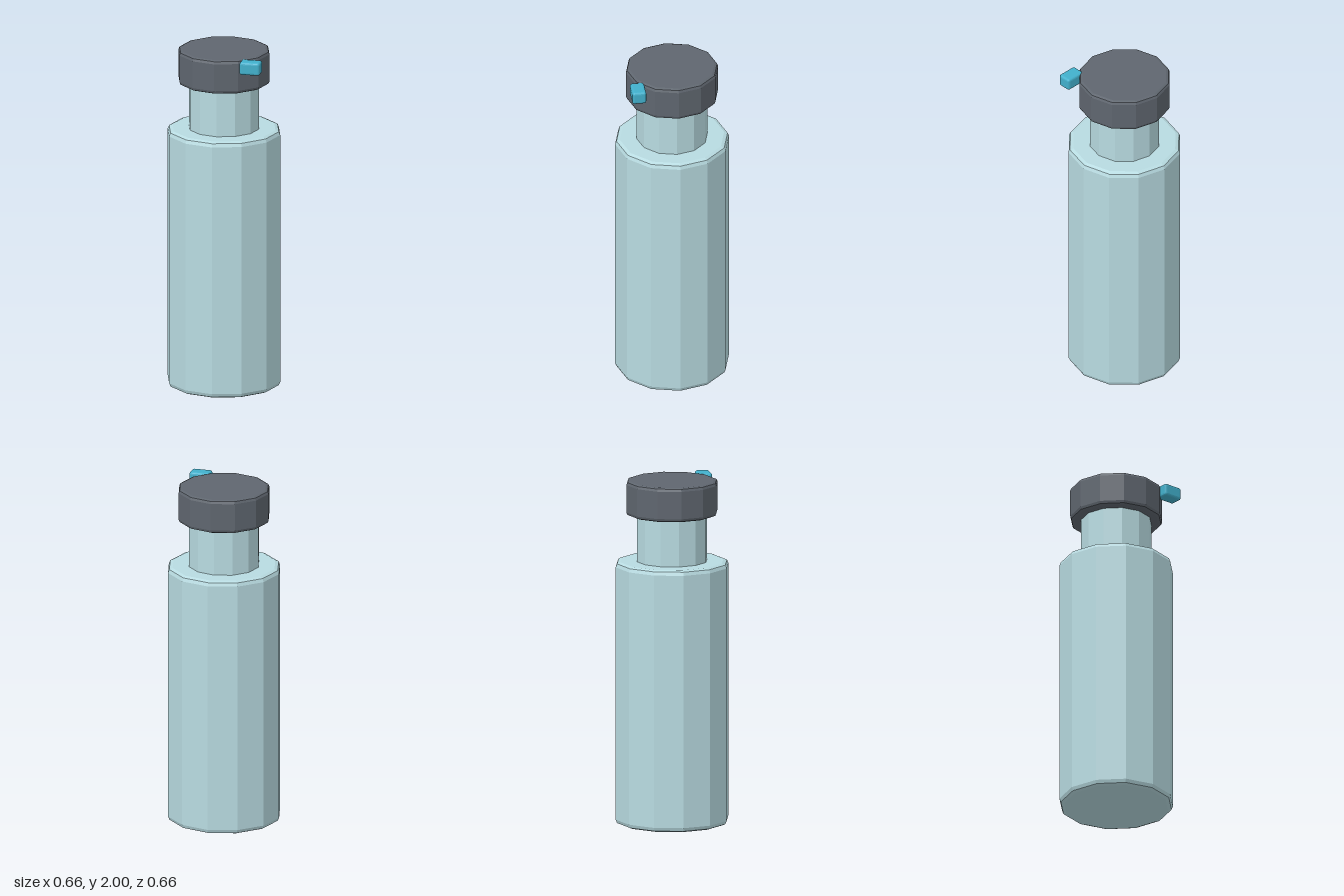
import * as THREE from 'three';
import { RoundedBoxGeometry } from 'three/addons/geometries/RoundedBoxGeometry.js';

const SIDES = 12;

function material(color) {
  return new THREE.MeshStandardMaterial({ color, flatShading: true });
}

// Closed twelve-sided drum with a two-step bevel of size b on both rims
function drum(name, radius, y0, y1, b, mat) {
  const rim = [[radius - b, 0], [radius - b * 0.29, b * 0.29], [radius, b]];
  const profile = [
    [0, y0],
    ...rim.map(([r, d]) => [r, y0 + d]),
    ...rim.slice().reverse().map(([r, d]) => [r, y1 - d]),
    [0, y1],
  ].map(([r, y]) => new THREE.Vector2(r, y));
  const mesh = new THREE.Mesh(new THREE.LatheGeometry(profile, SIDES), mat);
  mesh.name = name;
  return mesh;
}

export function createModel() {
  const group = new THREE.Group();
  group.name = 'bottle';
  const shell = material(0xb8dbe1);

  // Main body and screw cap
  group.add(drum('body', 0.33, 0, 1.53, 0.028, shell));
  group.add(drum('cap', 0.267, 1.8, 2, 0.02, material(0x5f666f)));

  // Plain neck running from the shoulder into the cap
  const neck = new THREE.Mesh(new THREE.CylinderGeometry(0.205, 0.205, 0.32, SIDES), shell);
  neck.name = 'neck';
  neck.position.y = 1.66;
  group.add(neck);

  // Small bevelled tab on the front left of the cap
  const tab = new THREE.Mesh(new RoundedBoxGeometry(0.12, 0.075, 0.081, 2, 0.014), material(0x42b0cc));
  tab.name = 'capTab';
  tab.position.set(0.206, 1.9625, 0.2265);
  group.add(tab);

  return group;
}
